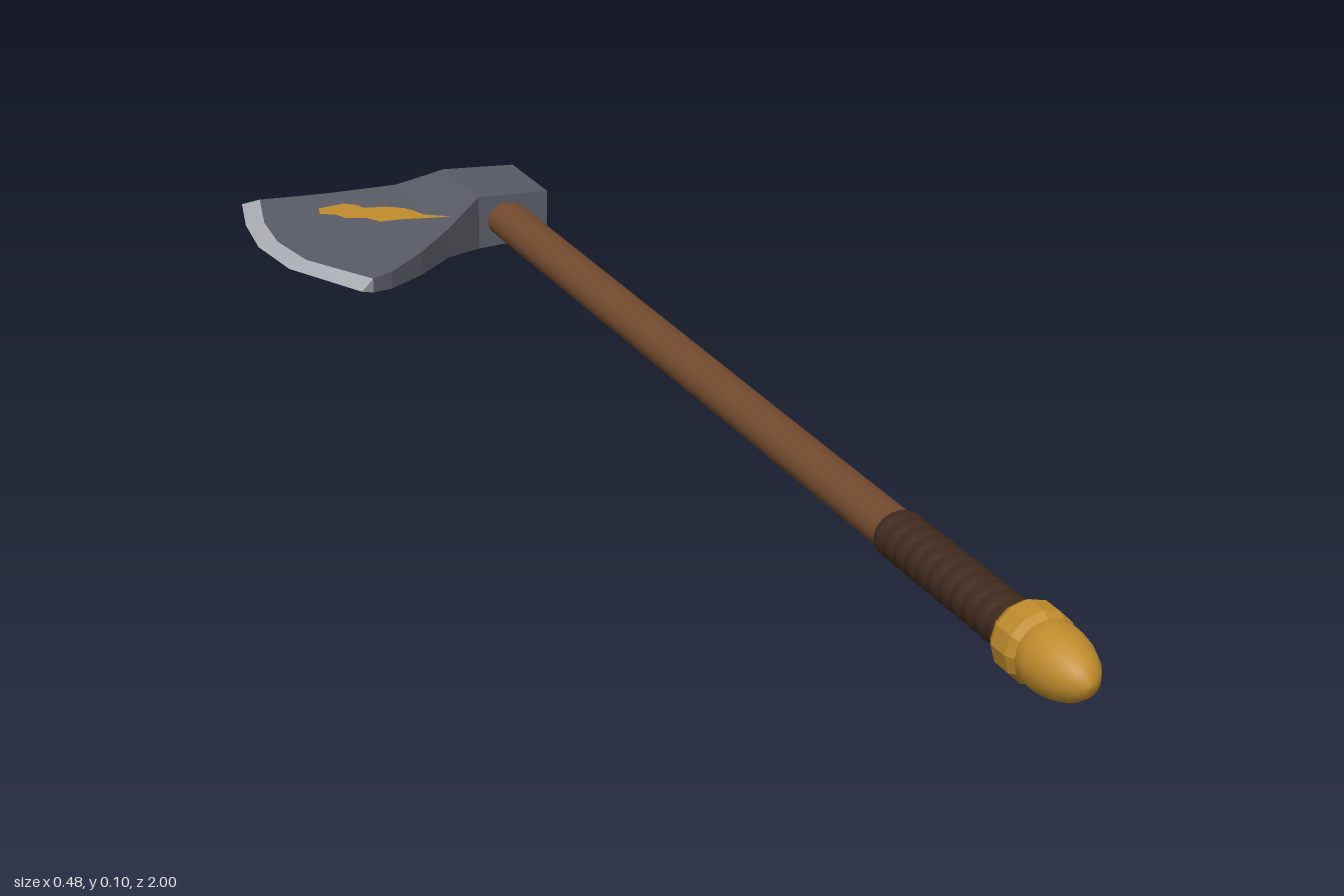
import * as THREE from 'three';

const AXIS_X = 0.17, MID_Y = 0.05;
const mat = (color, opts = {}) => {
  const m = new THREE.MeshStandardMaterial(opts);
  m.color.set(color);
  return m;
};
const steel = mat(0x585b64, { flatShading: true });
const edgeSteel = mat(0xa9acb1, { flatShading: true });
const wood = mat(0x744b2e);
const leather = mat(0x402a1e);
const gold = mat(0xc08c2c);
const goldFacet = mat(0xc08c2c, { flatShading: true });
const inlayGold = mat(0xc08c2c, { side: THREE.DoubleSide });

function add(group, name, geometry, material) {
  const mesh = new THREE.Mesh(geometry, material);
  mesh.name = name;
  group.add(mesh);
  return mesh;
}

// Turned part along z: profile is [radius, z] pairs with z increasing
function turned(profile, segments, flatten = 1) {
  const g = new THREE.LatheGeometry(profile.map(([r, z]) => new THREE.Vector2(r, z)), segments);
  g.rotateX(Math.PI / 2);
  g.scale(1, flatten, 1);
  g.translate(AXIS_X, MID_Y, 0);
  return g;
}

// Half thickness of the axe head at a given x
function halfThickness(x) {
  if (x > 0.12) return 0.044 - (x - 0.12) * 0.042;
  if (x > 0.04) return 0.024 + (x - 0.04) * 0.25;
  return 0.024 + (x - 0.04) * 0.072;
}

// Cross-sections of the head, each a row of [x, z] from the back edge to the front edge
const straight = (x0, z0, x1, z1) =>
  [0, 1, 2, 3, 4].map(j => [x0 + (x1 - x0) * j / 4, z0 + (z1 - z0) * j / 4]);
const bevelRow = [[-0.177, -0.987], [-0.204, -0.88], [-0.212, -0.786], [-0.198, -0.685], [-0.135, -0.553]];
const cutRow = [[-0.204, -1], [-0.23, -0.897], [-0.243, -0.79], [-0.23, -0.675], [-0.16, -0.535]];
const bodyRows = [
  straight(0.24, -0.902, 0.24, -0.755),
  straight(0.12, -0.912, 0.12, -0.755),
  straight(0.04, -0.925, 0.04, -0.685),
  straight(-0.066, -0.95, -0.03, -0.617),
  straight(-0.12, -0.967, -0.1, -0.564),
  bevelRow,
];

// Skin both faces, the two long rims and the poll of a lofted plate
function plate(rows, thickness, closePoll) {
  const pos = [];
  const P = (i, j, s) => {
    const [x, z] = rows[i][j];
    return [x, MID_Y + s * thickness(x, i), z];
  };
  const quad = (a, b, c, d) => pos.push(...a, ...b, ...c, ...a, ...c, ...d);
  for (let i = 0; i < rows.length - 1; i++) {
    for (let j = 0; j < 4; j++) {
      quad(P(i, j, 1), P(i + 1, j, 1), P(i + 1, j + 1, 1), P(i, j + 1, 1));
      quad(P(i, j, -1), P(i, j + 1, -1), P(i + 1, j + 1, -1), P(i + 1, j, -1));
    }
    quad(P(i, 0, 1), P(i, 0, -1), P(i + 1, 0, -1), P(i + 1, 0, 1));
    quad(P(i, 4, 1), P(i + 1, 4, 1), P(i + 1, 4, -1), P(i, 4, -1));
  }
  if (closePoll) quad(P(0, 0, 1), P(0, 4, 1), P(0, 4, -1), P(0, 0, -1));
  const g = new THREE.BufferGeometry();
  g.setAttribute('position', new THREE.Float32BufferAttribute(pos, 3));
  g.computeVertexNormals();
  return g;
}

// Wavy inlay lying just above one face of the blade
function inlay(side) {
  const outline = [
    [-0.108, -0.888], [-0.066, -0.886], [-0.05, -0.868], [-0.043, -0.848], [-0.01, -0.832],
    [0.01, -0.812], [0.02, -0.793], [0.028, -0.765], [0.06, -0.722], [0.02, -0.75],
    [-0.008, -0.764], [-0.042, -0.774], [-0.056, -0.802], [-0.085, -0.82], [-0.094, -0.846], [-0.115, -0.862],
  ];
  const shape = new THREE.Shape(outline.map(([x, z]) => new THREE.Vector2(x, -z)));
  const g = new THREE.ShapeGeometry(shape);
  g.rotateX(-Math.PI / 2);
  const p = g.attributes.position;
  for (let i = 0; i < p.count; i++) p.setY(i, MID_Y + side * (halfThickness(p.getX(i)) + 0.0015));
  if (side < 0) g.setIndex(Array.from(g.index.array).reverse());
  g.computeVertexNormals();
  return g;
}

export function createModel() {
  const axe = new THREE.Group();
  axe.name = 'axe';

  // Oval wooden shaft with a slightly domed end through the head
  add(axe, 'shaft', turned([
    [0, -0.917], [0.02, -0.915], [0.031, -0.908], [0.034, -0.895],
    [0.035, -0.7], [0.034, -0.2], [0.033, 0.2], [0.033, 0.86],
  ], 20, 0.82), wood);

  // Leather grip with bulging wraps
  const wraps = 11, z0 = 0.545, step = 0.305 / wraps;
  const grip = [[0.031, z0]];
  for (let i = 0; i < wraps; i++) {
    const z = z0 + i * step;
    grip.push([0.0355, z + step * 0.2], [0.037, z + step * 0.5], [0.0355, z + step * 0.8], [0.033, z + step]);
  }
  add(axe, 'grip', turned(grip, 20, 0.9), leather);

  // Faceted collar and rounded pommel
  add(axe, 'pommelCollar', turned([
    [0, 0.847], [0.042, 0.848], [0.049, 0.86], [0.049, 0.892], [0.043, 0.904], [0, 0.905],
  ], 12), goldFacet);
  add(axe, 'pommel', turned([
    [0.04, 0.9], [0.045, 0.908], [0.045, 0.925], [0.041, 0.95],
    [0.033, 0.972], [0.021, 0.989], [0.009, 0.998], [0, 1],
  ], 20), gold);

  // Head, sharpened edge and inlays
  add(axe, 'axeHead', plate(bodyRows, halfThickness, true), steel);
  add(axe, 'cuttingEdge', plate([bevelRow, cutRow], (x, i) => (i === 0 ? halfThickness(x) : 0), false), edgeSteel);
  add(axe, 'upperInlay', inlay(1), inlayGold);
  add(axe, 'lowerInlay', inlay(-1), inlayGold);
  return axe;
}
